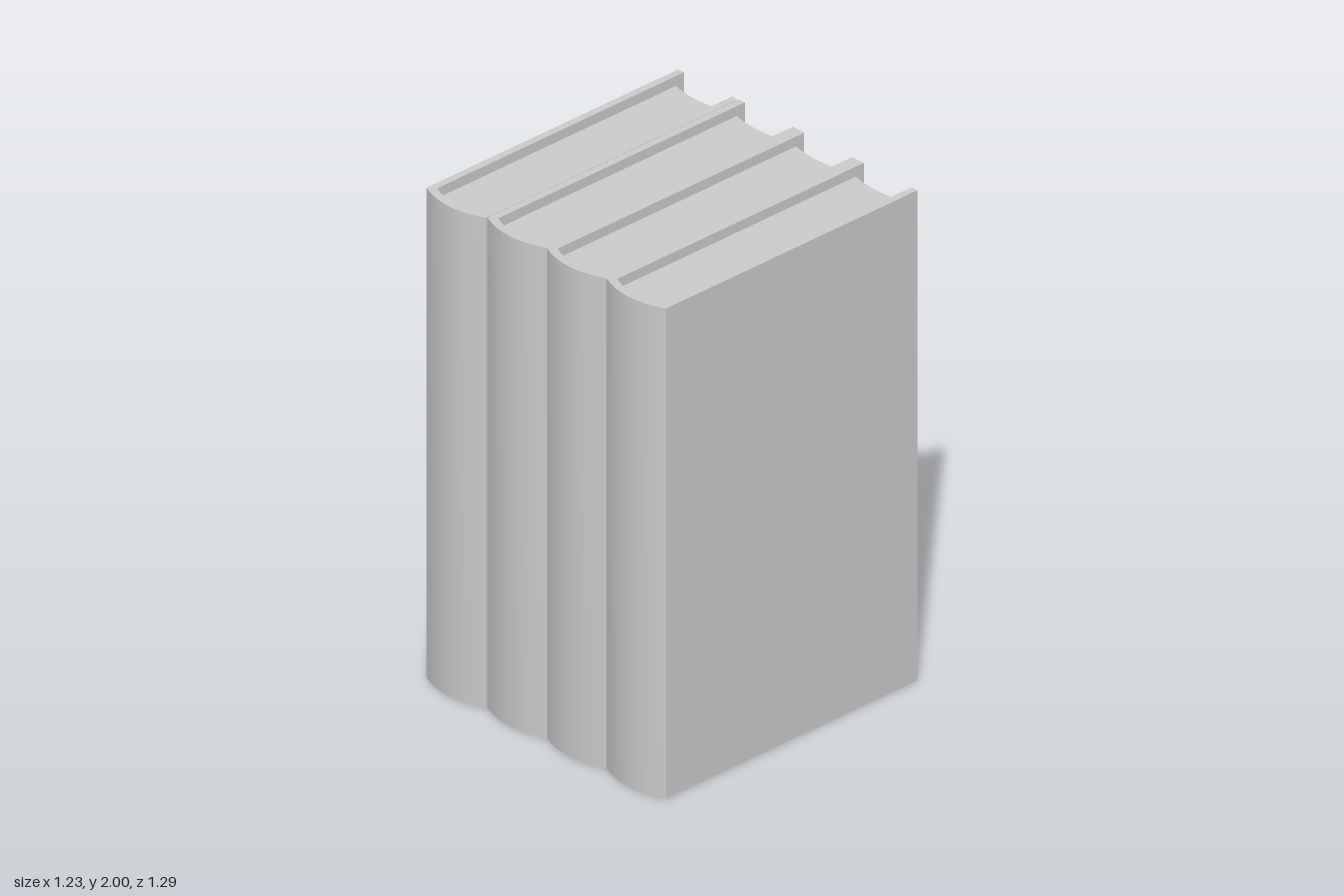
import * as THREE from 'three';
import { toCreasedNormals } from 'three/addons/utils/BufferGeometryUtils.js';

const HEIGHT = 2, HALF = 0.153, BOARD = 0.03, RECESS = 0.04;

// Points of a shallow arc from x = -half to +half; bulge > 0 pushes the middle to +z
function arc(half, z, bulge, steps = 8) {
  return Array.from({ length: steps + 1 }, (_, i) => {
    const t = (i / steps) * 2 - 1;
    return new THREE.Vector2(t * half, z + bulge * (1 - t * t));
  });
}

// Extrude a plan outline (x, z) upward between two heights
function slab(points, bottom, top) {
  const geometry = new THREE.ExtrudeGeometry(new THREE.Shape(points), {
    depth: top - bottom, bevelEnabled: false,
  });
  geometry.rotateX(Math.PI / 2).translate(0, top, 0);
  return toCreasedNormals(geometry, Math.PI / 5);
}

export function createModel() {
  const group = new THREE.Group();
  group.name = 'bookRow';
  const grey = new THREE.MeshStandardMaterial({ color: 0xcccccc });
  grey.name = 'light grey';

  const inner = HALF - BOARD, back = -0.643;

  // Cover: two boards joined by a rounded spine, open at the back
  const coverGeometry = slab([
    new THREE.Vector2(-HALF, back),
    ...arc(HALF, 0.6, 0.037),
    new THREE.Vector2(HALF, back),
    new THREE.Vector2(inner, back),
    ...arc(inner, 0.576, 0.032).reverse(),
    new THREE.Vector2(-inner, back),
  ], 0, HEIGHT);

  // Page block: follows the spine, hollow fore-edge, set in at top and bottom
  const pagesGeometry = slab([
    ...arc(inner, 0.576, 0.032),
    ...arc(inner, -0.603, 0.016).reverse(),
  ], RECESS, HEIGHT - RECESS);

  // Four books side by side, the first set slightly forward
  const places = [[-0.46, 0.004], [-0.152, -0.001], [0.154, 0], [0.46, 0]];
  places.forEach(([x, z], i) => {
    const book = new THREE.Group();
    book.name = `book${i + 1}`;
    const cover = new THREE.Mesh(coverGeometry, grey);
    cover.name = 'cover';
    const pages = new THREE.Mesh(pagesGeometry, grey);
    pages.name = 'pages';
    book.add(cover, pages);
    book.position.set(x, 0, z);
    group.add(book);
  });
  return group;
}
